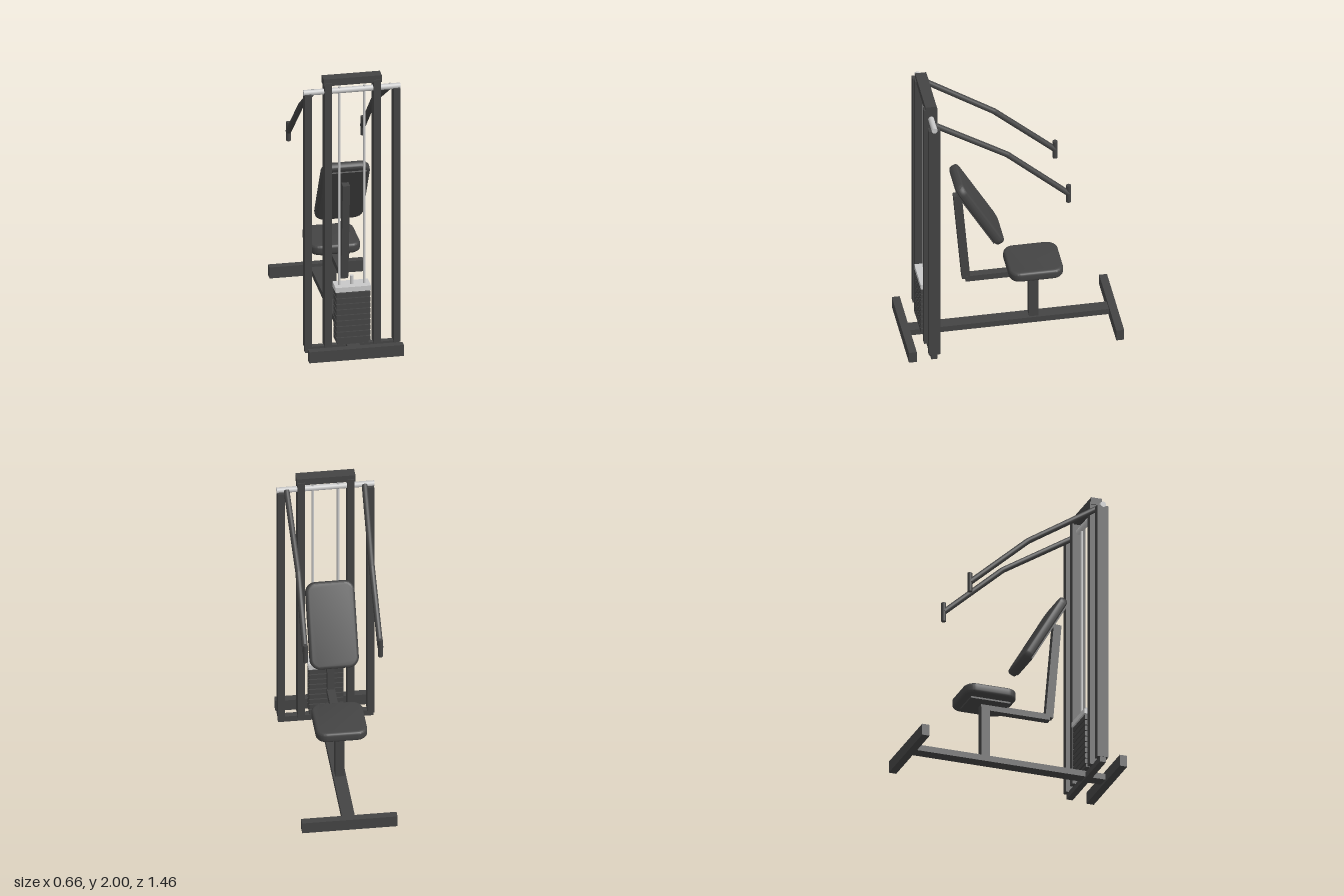
import * as THREE from 'three';
import { toCreasedNormals } from 'three/addons/utils/BufferGeometryUtils.js';

export function createModel() {
  const model = new THREE.Group();
  model.name = 'chestPressMachine';
  const dark = new THREE.MeshStandardMaterial({ color: 0x444444 });
  dark.name = 'charcoal';
  const steel = new THREE.MeshStandardMaterial({ color: 0xc8c8c8 });
  steel.name = 'brightSteel';

  const add = (name, geometry, material, x = 0, y = 0, z = 0, parent = model) => {
    const mesh = new THREE.Mesh(geometry, material);
    mesh.name = name;
    mesh.position.set(x, y, z);
    parent.add(mesh);
    return mesh;
  };
  // Box given by its extents on each axis
  const box = (name, [x0, x1], [y0, y1], [z0, z1], material = dark) =>
    add(name, new THREE.BoxGeometry(x1 - x0, y1 - y0, z1 - z0), material,
      (x0 + x1) / 2, (y0 + y1) / 2, (z0 + z1) / 2);
  // Round bar between two points
  const rod = (name, a, b, r, material = dark) => {
    const from = new THREE.Vector3(...a), to = new THREE.Vector3(...b);
    const dir = to.clone().sub(from);
    const mid = from.clone().add(to).multiplyScalar(0.5);
    const mesh = add(name, new THREE.CylinderGeometry(r, r, dir.length(), 16), material, mid.x, mid.y, mid.z);
    mesh.quaternion.setFromUnitVectors(new THREE.Vector3(0, 1, 0), dir.normalize());
    return mesh;
  };
  // Rounded cushion lying in the XY plane, centred through its thickness
  const cushion = (w, l, t, r, bevel) => {
    const x = w / 2 - bevel, y = l / 2 - bevel, c = r - bevel;
    const s = new THREE.Shape();
    s.absarc(x - c, y - c, c, 0, Math.PI / 2);
    s.absarc(-x + c, y - c, c, Math.PI / 2, Math.PI);
    s.absarc(-x + c, -y + c, c, Math.PI, Math.PI * 1.5);
    s.absarc(x - c, -y + c, c, Math.PI * 1.5, Math.PI * 2);
    const g = new THREE.ExtrudeGeometry(s, {
      depth: t - 2 * bevel, bevelEnabled: true, bevelSize: bevel,
      bevelThickness: bevel, bevelSegments: 4, curveSegments: 8,
    });
    g.translate(0, 0, -t / 2 + bevel);
    return toCreasedNormals(g, 0.6);
  };

  const zc = 0.555; // plane of the weight tower

  // Floor frame
  box('frontFoot', [-0.32, 0.32], [0, 0.08], [0.675, 0.728]);
  box('rearFoot', [-0.32, 0.32], [0, 0.08], [-0.728, -0.675]);
  box('floorBeam', [-0.043, 0.043], [0.018, 0.06], [-0.68, 0.68]);
  box('towerFoot', [-0.32, 0.32], [0.008, 0.05], [0.535, 0.577]);

  // Tower
  for (const [side, s] of [['left', 1], ['right', -1]]) {
    const span = (a, b) => (s > 0 ? [a, b] : [-b, -a]);
    box(side + 'InnerUpright', span(0.143, 0.19), [0.045, 1.97], [0.51, 0.602]);
    box(side + 'OuterUpright', span(0.278, 0.323), [0.045, 1.89], [0.515, 0.593]);
    rod(side + 'GuideRod', [s * 0.085, 0.05, zc], [s * 0.085, 1.925, zc], 0.009, steel);
  }
  box('topBeam', [-0.197, 0.197], [1.95, 2], [0.518, 0.593]);
  rod('pivotShaft', [-0.328, 1.897, zc], [0.328, 1.897, zc], 0.02, steel);

  // Weight stack with narrow gaps
  const plates = 9, pitch = 0.365 / plates;
  box('stackCore', [-0.105, 0.105], [0.06, 0.445], [0.515, 0.597]);
  for (let i = 0; i < plates; i++) {
    const y = 0.08 + i * pitch;
    box('weightPlate', [-0.115, 0.115], [y, y + pitch - 0.008], [0.503, 0.609]);
  }
  box('topPlate', [-0.12, 0.12], [0.445, 0.48], [0.497, 0.612], steel);
  rod('selectorStem', [0, 0.47, zc], [0, 0.54, zc], 0.013, steel);

  // Seat support
  box('seatPost', [-0.03, 0.03], [0.05, 0.42], [-0.2, -0.138]);
  box('seatBeam', [-0.027, 0.027], [0.4, 0.443], [-0.2, 0.29]);
  box('seatPlate', [-0.1, 0.1], [0.438, 0.455], [-0.3, -0.02]);
  const backPost = add('backPost', new THREE.BoxGeometry(0.048, 0.69, 0.055), dark, 0, 0.767, 0.315);
  backPost.rotation.x = 0.085;

  // Cushions
  const seat = add('seatCushion', cushion(0.346, 0.367, 0.07, 0.075, 0.02), dark, 0, 0.485, -0.17);
  seat.rotation.x = -Math.PI / 2;
  const back = new THREE.Group();
  back.name = 'backrest';
  back.position.set(0, 1.01, 0.212);
  back.rotation.x = Math.PI / 6;
  model.add(back);
  add('backCushion', cushion(0.33, 0.585, 0.062, 0.07, 0.02), dark, 0, 0, 0, back);
  add('backPlate', new THREE.BoxGeometry(0.28, 0.5, 0.014), dark, 0, 0, 0.034, back);

  // Swinging press arms
  for (const [side, s] of [['left', 1], ['right', -1]]) {
    const pivot = [s * 0.262, 1.897, zc - 0.01];
    const elbow = [s * 0.247, 1.58, 0.05];
    const end = [s * 0.252, 1.21, -0.362];
    rod(side + 'UpperArm', pivot, elbow, 0.02);
    rod(side + 'LowerArm', elbow, end, 0.02);
    add(side + 'Elbow', new THREE.SphereGeometry(0.02, 16, 10), dark, ...elbow);
    rod(side + 'Handle', [s * 0.252, 1.14, -0.364], [s * 0.252, 1.275, -0.364], 0.016);
  }
  return model;
}
